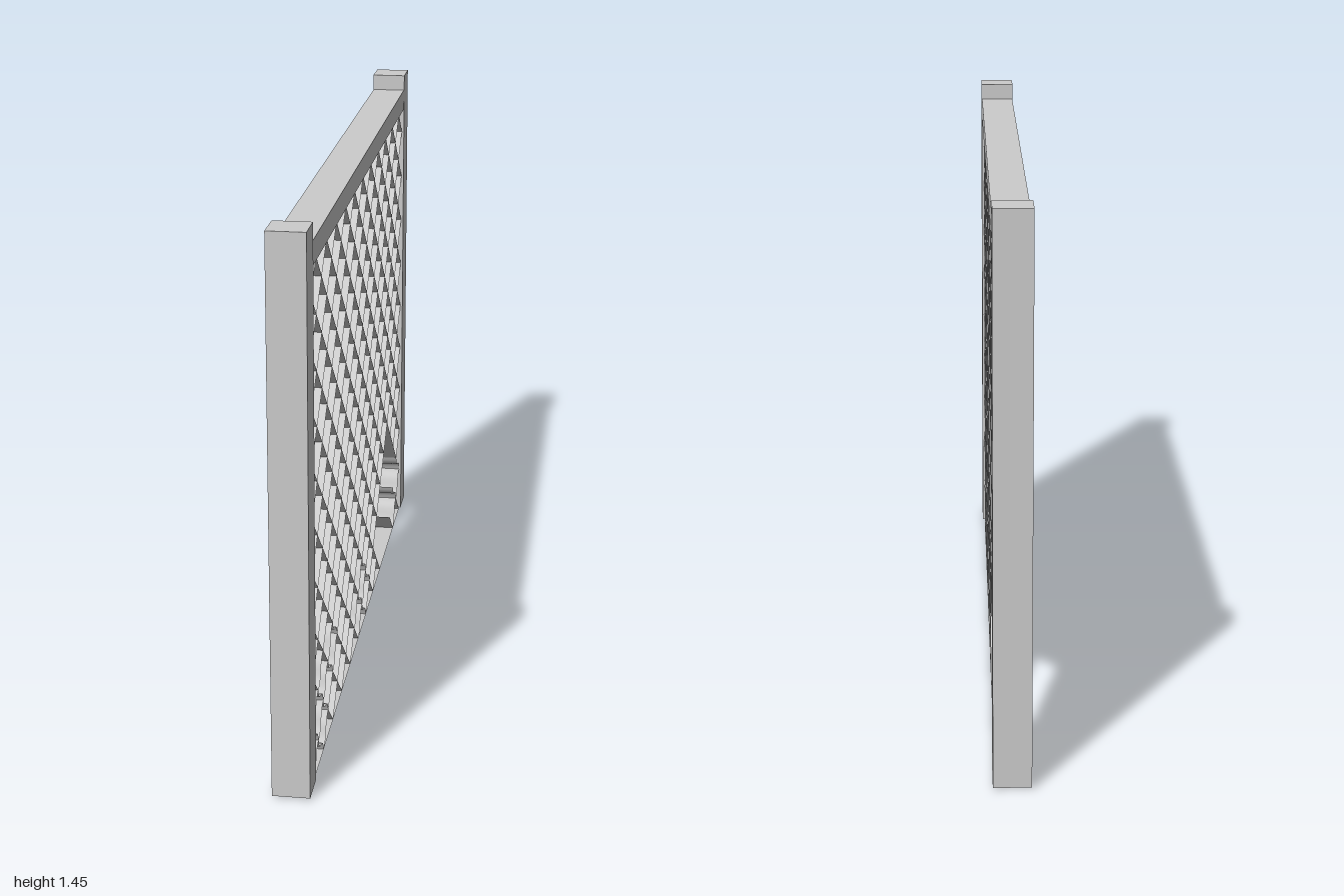
import * as THREE from 'three';
import { mergeGeometries } from 'three/addons/utils/BufferGeometryUtils.js';

const material = new THREE.MeshStandardMaterial({ color: 0xcccccc });
const sheet = new THREE.MeshStandardMaterial({ color: 0xcccccc, side: THREE.DoubleSide });

// Lattice opening between the posts
const HALF = 0.905, TOP = 1.34, COLS = 22, ROWS = 19, DEPTH = 0.084;
const dz = (2 * HALF) / COLS, dy = TOP / ROWS;

// Places where the ribbons are buckled, as [z, y, radius]
const dents = [[0, 0.12, 0.13], [0.58, 0.2, 0.07], [0.77, 0.12, 0.13], [-0.8, 0.13, 0.1]];

function box(name, w, h, d, y, z) {
  const mesh = new THREE.Mesh(new THREE.BoxGeometry(w, h, d), material);
  mesh.position.set(0, y, z);
  mesh.name = name;
  return mesh;
}

// Ribbon of the lattice, running across the depth, optionally wavy
function ribbon(z0, y0, z1, y1, wave) {
  const geo = new THREE.PlaneGeometry(DEPTH, 1, 1, wave ? 10 : 1);
  const pos = geo.attributes.position;
  const len = Math.hypot(z1 - z0, y1 - y0);
  for (let k = 0; k < pos.count; k++) {
    const t = pos.getY(k) + 0.5;
    const b = wave * Math.sin(2 * Math.PI * t);
    pos.setY(k, y0 + (y1 - y0) * t + (b * (z1 - z0)) / len);
    pos.setZ(k, z0 + (z1 - z0) * t - (b * (y1 - y0)) / len);
  }
  geo.computeVertexNormals();
  return geo;
}

function buildLattice() {
  const straight = [], bent = [];
  for (let i = 0; i < COLS; i++) {
    for (let j = 0; j < ROWS; j++) {
      const z = -HALF + (i + 0.5) * dz, y = (j + 0.5) * dy;
      // torn-out hole near the bottom
      if (Math.abs(z + 0.56) / dz + Math.abs(y - 0.16) / dy < 3.1) continue;
      const rise = (i + j) % 2 === 0 ? 0.5 : -0.5;
      const dented = dents.some(([cz, cy, r]) => Math.hypot(z - cz, y - cy) < r);
      (dented ? bent : straight).push(
        ribbon(z - dz / 2, y - rise * dy, z + dz / 2, y + rise * dy, dented ? 0.01 : 0));
    }
  }
  const group = new THREE.Group();
  group.name = 'lattice';
  for (const [name, parts] of [['straightRibbons', straight], ['bentRibbons', bent]]) {
    const mesh = new THREE.Mesh(mergeGeometries(parts), sheet);
    mesh.name = name;
    group.add(mesh);
  }
  return group;
}

export function createModel() {
  const model = new THREE.Group();
  model.name = 'latticeFencePanel';

  // Posts and top rail
  for (const s of [1, -1]) {
    model.add(box(s > 0 ? 'frontPost' : 'backPost', 0.096, 1.44, 0.095, 0.725, s * 0.9525));
  }
  model.add(box('topRail', 0.094, 0.06, 2 * HALF, 1.37, 0));

  // Thin strip closing the lattice at the ground
  const base = new THREE.Mesh(new THREE.PlaneGeometry(DEPTH, 2 * HALF), sheet);
  base.rotation.x = -Math.PI / 2;
  base.name = 'baseStrip';
  model.add(base);

  model.add(buildLattice());
  return model;
}
